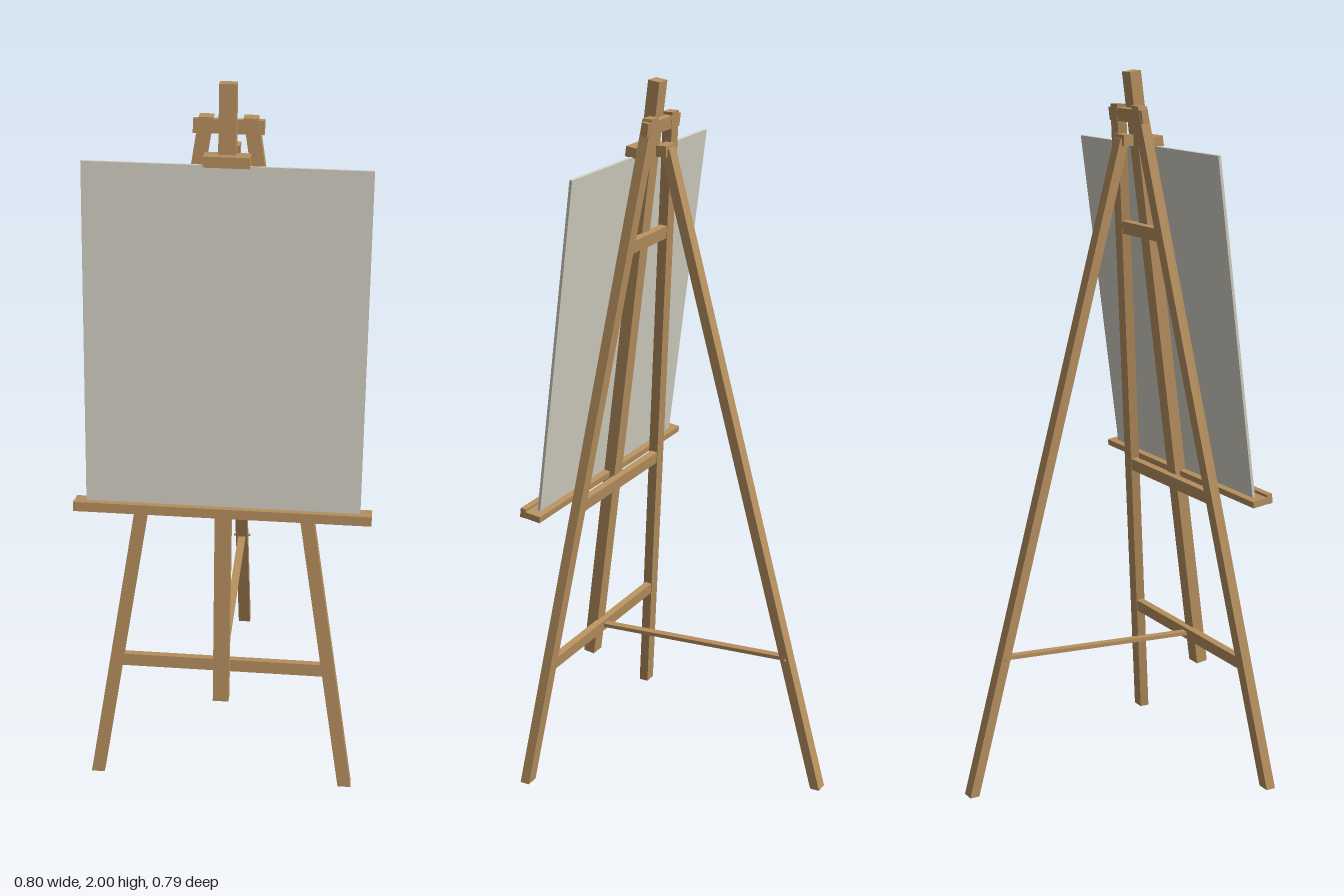
import * as THREE from 'three';

const wood = new THREE.MeshStandardMaterial({ color: 0xb8915f });
wood.name = 'wood';
const canvasCloth = new THREE.MeshStandardMaterial({ color: 0xd4d0c4 });
canvasCloth.name = 'canvasCloth';

const LEAN = 0.138; // backward tilt of the front frame, radians

// Axis-aligned box given by centre and size
function block(parent, name, size, pos, material = wood) {
  const mesh = new THREE.Mesh(new THREE.BoxGeometry(...size), material);
  mesh.name = name;
  mesh.position.set(...pos);
  parent.add(mesh);
  return mesh;
}

// Slanted post with horizontal end cuts: a box sheared from bottom to top
function post(parent, name, bottom, top, width, depth) {
  const height = top[1] - bottom[1];
  const geo = new THREE.BoxGeometry(width, height, depth);
  geo.translate(0, height / 2, 0);
  geo.applyMatrix4(new THREE.Matrix4().set(
    1, (top[0] - bottom[0]) / height, 0, bottom[0],
    0, 1, 0, bottom[1],
    0, (top[2] - bottom[2]) / height, 1, bottom[2],
    0, 0, 0, 1,
  ));
  geo.computeVertexNormals();
  const mesh = new THREE.Mesh(geo, wood);
  mesh.name = name;
  parent.add(mesh);
}

export function createModel() {
  const easel = new THREE.Group();
  easel.name = 'easel';

  // Legs
  for (const [side, s] of [['left', 1], ['right', -1]]) {
    post(easel, `${side}FrontLeg`, [s * 0.355, 0, 0.381], [s * 0.056, 1.908, 0.117], 0.037, 0.028);
  }
  post(easel, 'rearLeg', [0, 0, -0.381], [0, 1.82, 0.097], 0.036, 0.028);

  // Leaning front frame: y runs up the slope, z points out of it
  const frame = new THREE.Group();
  frame.name = 'frontFrame';
  frame.position.z = 0.381;
  frame.rotation.x = -LEAN;
  easel.add(frame);

  block(frame, 'mast', [0.044, 1.744, 0.034], [0, 1.142, 0.022]);

  // Crossbars: height up the slope, half length
  const bars = [['lower', 0.368, 0.295], ['middle', 0.848, 0.22], ['upper', 1.58, 0.108], ['top', 1.9, 0.09]];
  for (const [name, v, half] of bars) {
    block(frame, `${name}Crossbar`, [half * 2, 0.036, 0.02], [0, v, -0.002]);
  }

  // Tray with front lip
  const tray = new THREE.Group();
  tray.name = 'tray';
  frame.add(tray);
  block(tray, 'trayShelf', [0.8, 0.018, 0.046], [0, 0.866, 0.043]);
  block(tray, 'trayLip', [0.8, 0.027, 0.016], [0, 0.8695, 0.074]);

  // Canvas and the clamp holding its top edge
  block(frame, 'canvas', [0.738, 0.935, 0.008], [0, 1.3425, 0.043], canvasCloth);
  block(frame, 'topClamp', [0.118, 0.028, 0.05], [0, 1.822, 0.038]);

  // Hinge joining the rear leg to the frame
  block(easel, 'hinge', [0.056, 0.03, 0.03], [0, 1.815, 0.103]);

  // Stretcher between lower crossbar and rear leg, with its pin
  const start = new THREE.Vector3(0, 0.364, 0.325);
  const end = new THREE.Vector3(0, 0.394, -0.28);
  const mid = start.clone().add(end).multiplyScalar(0.5);
  const stretcher = block(easel, 'stretcher', [0.022, 0.011, start.distanceTo(end)], mid.toArray());
  stretcher.rotation.x = Math.atan2(end.y - start.y, start.z - end.z);
  const pin = new THREE.Mesh(new THREE.CylinderGeometry(0.004, 0.004, 0.05, 8), wood);
  pin.name = 'stretcherPin';
  pin.position.copy(end);
  pin.rotation.z = Math.PI / 2;
  easel.add(pin);

  return easel;
}
